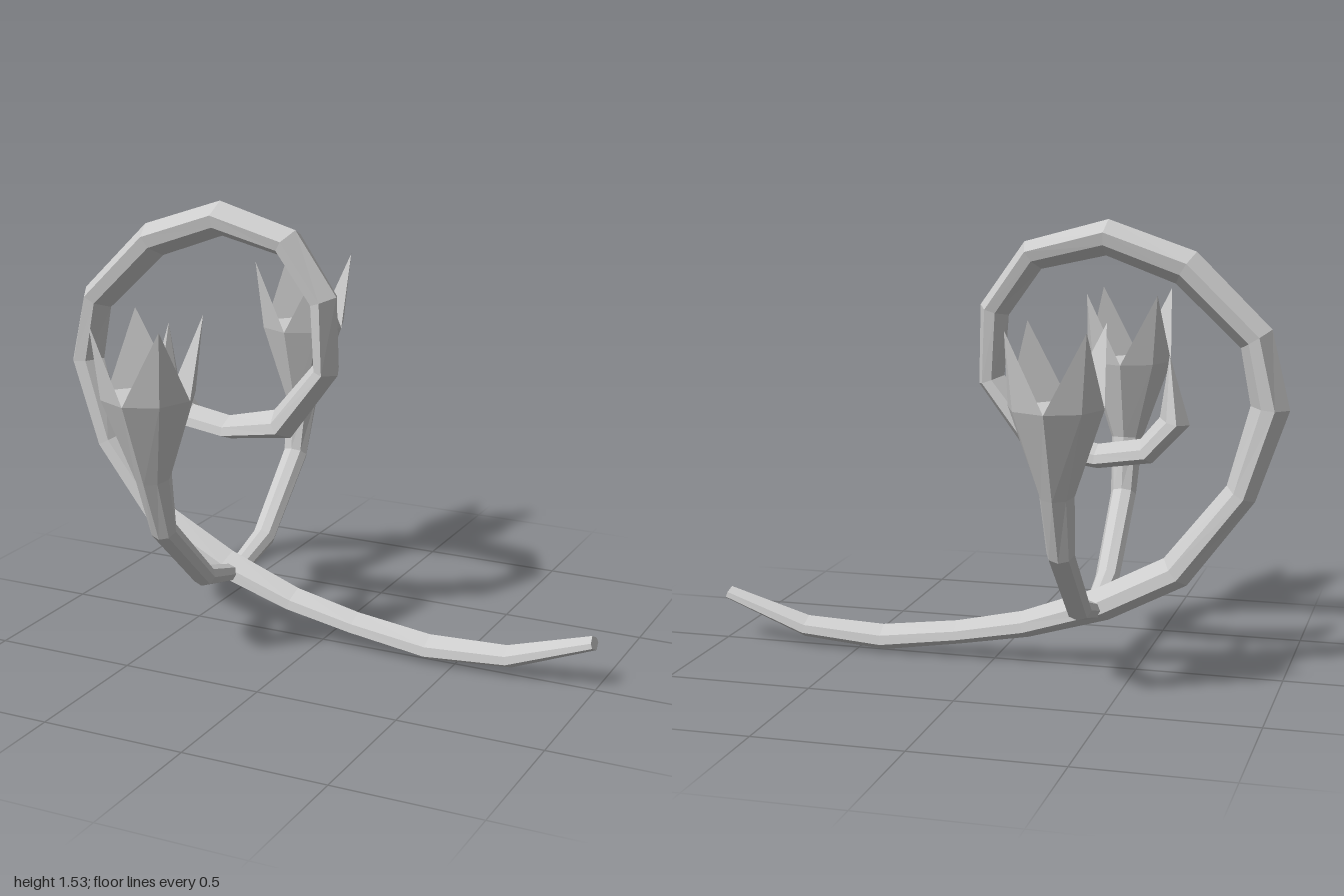
import * as THREE from 'three';

const V = (x, y, z) => new THREE.Vector3(x, y, z);
const material = new THREE.MeshStandardMaterial({ color: 0xcccccc, flatShading: true, side: THREE.DoubleSide });

function meshFrom(name, triangles) {
  const geometry = new THREE.BufferGeometry().setFromPoints(triangles);
  geometry.computeVertexNormals();
  const mesh = new THREE.Mesh(geometry, material);
  mesh.name = name;
  return mesh;
}

// Rings of points along a planar path; each station is { c, a, b }:
// centre, half depth in the plane, half width across it
function sweepRings(stations, across, profile, lastTangent) {
  return stations.map(({ c, a, b }, i) => {
    const last = stations.length - 1;
    const t = stations[Math.min(i + 1, last)].c.clone().sub(stations[Math.max(i - 1, 0)].c).normalize();
    if (i === last && lastTangent) t.copy(lastTangent);
    const n = across.clone().cross(t);
    return profile.map(([u, v]) => c.clone().addScaledVector(n, u * a).addScaledVector(across, v * b));
  });
}

// Skin the rings and close the first one
function skin(rings) {
  const tris = [];
  const count = rings[0].length;
  for (let i = 0; i < rings.length - 1; i++) {
    for (let j = 0; j < count; j++) {
      const k = (j + 1) % count;
      const [p, q, r, s] = [rings[i][j], rings[i][k], rings[i + 1][k], rings[i + 1][j]];
      tris.push(p, q, r, p, r, s);
    }
  }
  for (let j = 1; j < count - 1; j++) tris.push(rings[0][0], rings[0][j + 1], rings[0][j]);
  return tris;
}

// Curled vine: x, y, half depth, half width
function curledVine() {
  const path = [
    [0.99, 0.17, 0.025, 0.033], [0.695, 0.068, 0.04, 0.048], [0.405, 0.05, 0.046, 0.055],
    [0.13, 0.088, 0.042, 0.058], [-0.11, 0.135, 0.047, 0.06], [-0.38, 0.225, 0.058, 0.065],
    [-0.63, 0.355, 0.06, 0.065], [-0.845, 0.635, 0.054, 0.066], [-0.935, 0.925, 0.065, 0.065],
    [-0.885, 1.152, 0.06, 0.068], [-0.65, 1.378, 0.063, 0.074], [-0.385, 1.472, 0.06, 0.08],
    [-0.132, 1.408, 0.054, 0.078], [0, 1.222, 0.052, 0.07], [0.01, 0.985, 0.047, 0.07],
    [-0.155, 0.775, 0.056, 0.078], [-0.36, 0.738, 0.042, 0.072], [-0.525, 0.763, 0.045, 0.075],
    [-0.62, 0.868, 0.052, 0.07], [-0.6, 1.085, 0.001, 0.001],
  ];
  const hexagon = [[1, 0], [0.35, 1], [-0.35, 0.9], [-1, 0], [-0.35, -0.9], [0.35, -1]];
  const stations = path.map(([x, y, a, b]) => ({ c: V(x, y, 0), a, b }));
  return meshFrom('curledVine', skin(sweepRings(stations, V(0, 0, 1), hexagon)));
}

// Side stem ending in a bud with four pointed petals: z, y, half depth, half width
function budStem() {
  const group = new THREE.Group();
  const path = [
    [0, 0.2, 0.03, 0.035], [0.222, 0.262, 0.038, 0.043],
    [0.485, 0.512, 0.042, 0.046], [0.54, 0.71, 0.066, 0.057], [0.56, 0.99, 0.163, 0.153],
  ];
  const octagon = Array.from({ length: 8 }, (_, k) => [Math.cos(k * Math.PI / 4), Math.sin(k * Math.PI / 4)]);
  const stations = path.map(([z, y, a, b]) => ({ c: V(0, y, z), a, b }));
  const rings = sweepRings(stations, V(1, 0, 0), octagon, V(0, 1, 0));
  group.add(meshFrom('stem', skin(rings)));

  // Petals rise over the corners, with notches between them
  const rim = rings[rings.length - 1];
  const petals = [];
  for (let k = 0; k < 8; k += 2) {
    const [a, corner, b] = [rim[k], rim[k + 1], rim[(k + 2) % 8]];
    const tip = V(Math.sign(corner.x) * 0.127, 1.24, 0.56 + Math.sign(corner.z - 0.56) * 0.14);
    petals.push(a, corner, tip, corner, b, tip, b, a, tip);
  }
  group.add(meshFrom('petals', petals));
  group.add(meshFrom('budFloor', [rim[0], rim[2], rim[4], rim[0], rim[4], rim[6]]));
  group.position.x = -0.35;
  return group;
}

export function createModel() {
  const model = new THREE.Group();
  model.name = 'curlingSprout';
  model.add(curledVine());
  // One bud stem in front, one behind
  ['frontBudStem', 'backBudStem'].forEach((name, i) => {
    const stem = budStem();
    stem.name = name;
    stem.rotation.y = i * Math.PI;
    model.add(stem);
  });
  return model;
}
